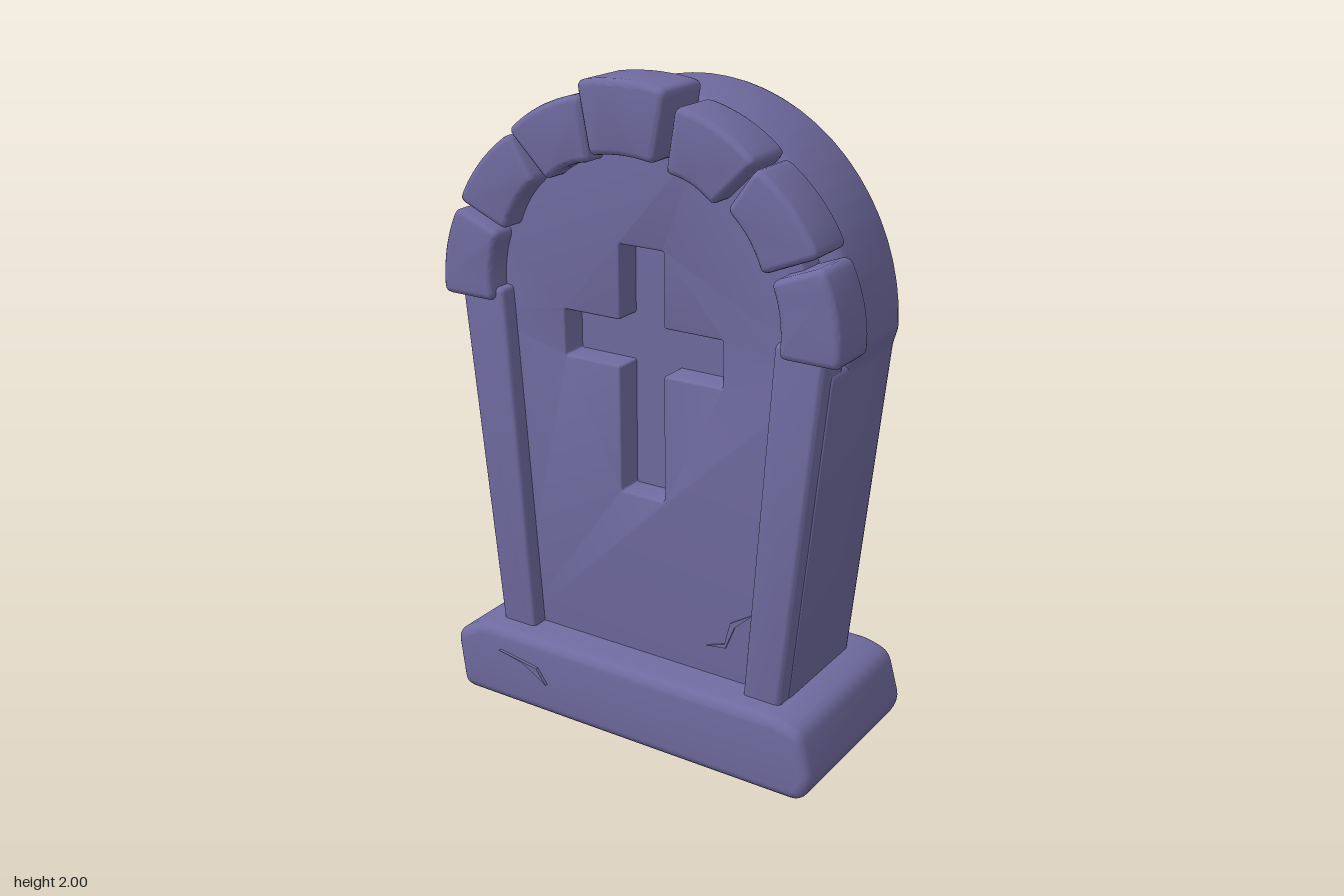
import * as THREE from 'three';
import { toCreasedNormals } from 'three/addons/utils/BufferGeometryUtils.js';

// Closed outline (Shape or Path) through the points, with softened corners.
function outline(points, radius, Kind = THREE.Shape) {
  const pts = points.map(([x, y]) => new THREE.Vector2(x, y));
  const path = new Kind();
  pts.forEach((p, i) => {
    const prev = pts[(i + pts.length - 1) % pts.length];
    const next = pts[(i + 1) % pts.length];
    const r = Math.min(radius, 0.4 * p.distanceTo(prev), 0.4 * p.distanceTo(next));
    const a = p.clone().add(prev.clone().sub(p).setLength(r));
    const b = p.clone().add(next.clone().sub(p).setLength(r));
    if (i === 0) path.moveTo(a.x, a.y); else path.lineTo(a.x, a.y);
    path.quadraticCurveTo(p.x, p.y, b.x, b.y);
  });
  path.closePath();
  return path;
}

// Slab between two z planes with rounded edges kept inside the outline.
function slab(shape, back, front, bevel) {
  const geo = new THREE.ExtrudeGeometry(shape, {
    depth: front - back - 2 * bevel,
    bevelEnabled: bevel > 0,
    bevelThickness: bevel,
    bevelSize: bevel,
    bevelOffset: -bevel,
    bevelSegments: 3,
    curveSegments: 3,
  });
  geo.translate(0, 0, back + bevel);
  return toCreasedNormals(geo, 0.7);
}

// Tapered tombstone outline with an elliptical top.
function tombOutline(rx, ry) {
  const pts = [[-0.5, 0.2], [0.5, 0.2], [0.61, 1.25]];
  const steps = 32;
  for (let i = 0; i <= steps; i++) {
    const t = (i / steps) * Math.PI;
    pts.push([rx * Math.cos(t), 1.3 + ry * Math.sin(t)]);
  }
  pts.push([-0.61, 1.25]);
  return outline(pts, 0.015);
}

// Edge from a to b that bows away from the centre of the arch.
function bowedEdge(a, b, bow) {
  const A = new THREE.Vector2(...a), B = new THREE.Vector2(...b);
  const mid = A.clone().add(B).multiplyScalar(0.5);
  const out = mid.clone().sub(new THREE.Vector2(0, 1.3)).setLength(2 * bow);
  return new THREE.QuadraticBezierCurve(A, mid.add(out), B)
    .getPoints(4).map((p) => [p.x, p.y]);
}

export function createModel() {
  const group = new THREE.Group();
  group.name = 'gravestone';
  const stone = new THREE.MeshStandardMaterial({ color: 0x706ba0 });
  stone.name = 'purpleStone';
  const add = (name, geo) => {
    const mesh = new THREE.Mesh(geo, stone);
    mesh.name = name;
    group.add(mesh);
  };

  // Uneven plinth
  add('base', slab(outline([
    [-0.62, 0], [0.61, 0], [0.648, 0.07], [0.605, 0.225], [0.53, 0.25],
    [-0.54, 0.25], [-0.645, 0.19],
  ], 0.035), -0.305, 0.292, 0.03));

  // Main block; its front is the floor of the carved cross
  add('body', slab(tombOutline(0.625, 0.655), -0.212, 0.08, 0.025));

  // Front panel with the cross cut through it
  const panel = tombOutline(0.56, 0.59);
  panel.holes.push(outline([
    [-0.078, 0.767], [-0.078, 1.157], [-0.272, 1.157], [-0.272, 1.297],
    [-0.078, 1.297], [-0.078, 1.52], [0.073, 1.52], [0.073, 1.297],
    [0.267, 1.297], [0.267, 1.157], [0.073, 1.157], [0.073, 0.767],
  ], 0.008, THREE.Path));
  add('frontPanel', slab(panel, -0.1, 0.166, 0.006));

  // Leaning side pillars
  for (const [side, s] of [['left', 1], ['right', -1]]) {
    add(side + 'Pillar', slab(outline([
      [s * 0.375, 0.2], [s * 0.497, 0.2], [s * 0.613, 1.34], [s * 0.458, 1.34],
    ], 0.015), 0.1, 0.22, 0.015));
  }

  // Arch stones: outer edge, then inner edge
  const archStones = [
    [[0.155, 1.943], [0.405, 1.82], [0.272, 1.69], [0.125, 1.758]],
    [[0.405, 1.81], [0.594, 1.595], [0.425, 1.525], [0.315, 1.685]],
    [[0.605, 1.572], [0.665, 1.303], [0.48, 1.303], [0.452, 1.512]],
  ];
  archStones.forEach((corners, i) => {
    for (const [side, s] of [['left', 1], ['right', -1]]) {
      const [a, b, c, d] = corners.map(([x, y]) => [s * x, y]);
      const pts = [...bowedEdge(a, b, 0.02), ...bowedEdge(c, d, 0.015)];
      add(side + 'ArchStone' + (i + 1), slab(outline(pts, 0.025), 0.072, 0.242, 0.018));
    }
  });
  const key = [
    ...bowedEdge([-0.146, 1.986], [0.144, 1.986], 0.014),
    ...bowedEdge([0.104, 1.783], [-0.106, 1.783], 0.012),
  ];
  add('keystone', slab(outline(key, 0.025), 0.072, 0.267, 0.018));

  // Raised crack slivers
  add('baseCrack', slab(outline([
    [-0.46, 0.18], [-0.37, 0.162], [-0.33, 0.14], [-0.28, 0.11], [-0.315, 0.158],
  ], 0), 0.285, 0.302, 0));
  add('panelCrack', slab(outline([
    [0.225, 0.343], [0.29, 0.352], [0.32, 0.428], [0.39, 0.492],
    [0.305, 0.438], [0.287, 0.365],
  ], 0), 0.16, 0.172, 0));

  return group;
}
